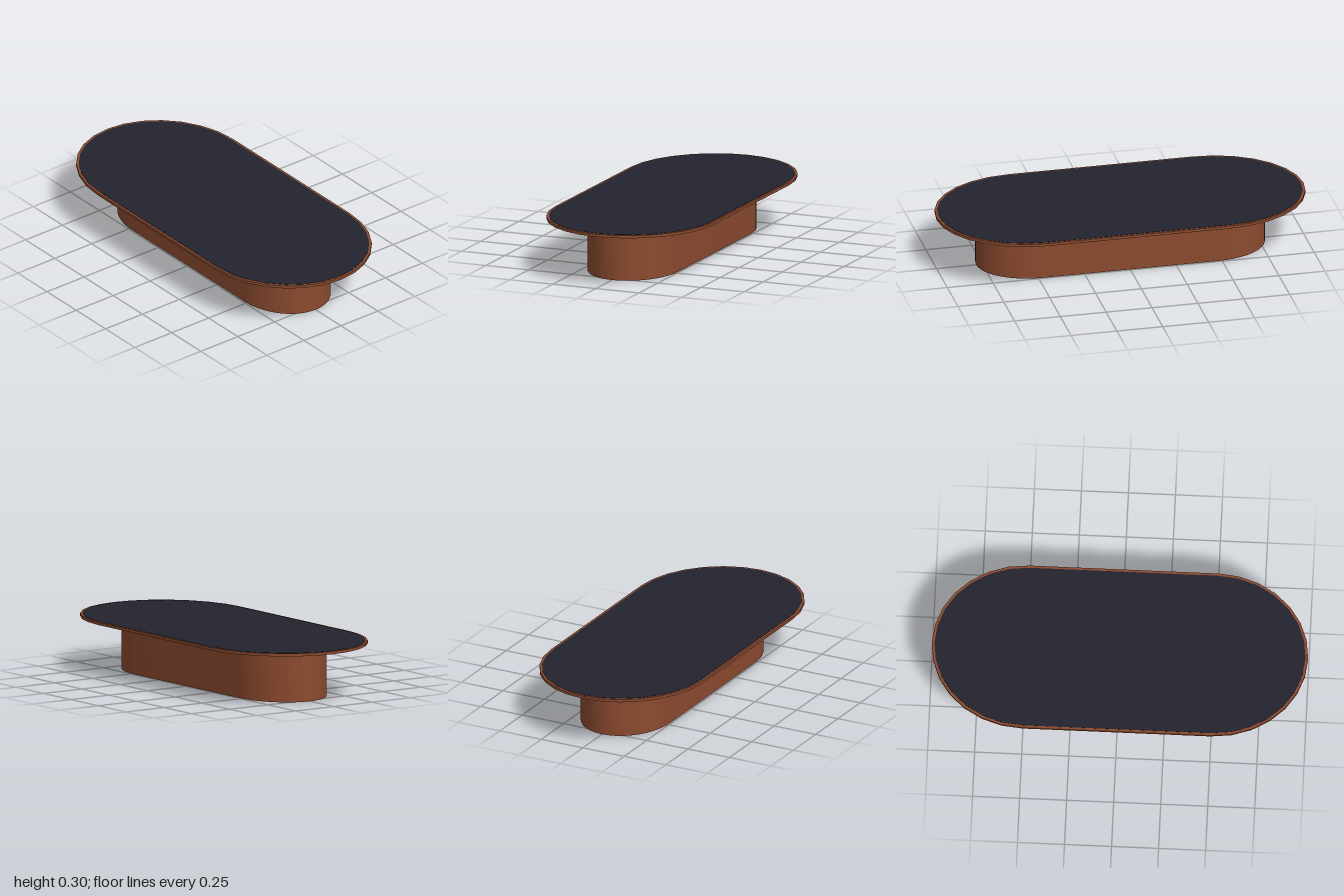
import * as THREE from 'three';
import { toCreasedNormals } from 'three/addons/utils/BufferGeometryUtils.js';

// Oval outline: straight sides joined by half-ellipse ends
function ovalShape(halfWidth, halfLength, straight, segments) {
  const points = [];
  for (const end of [1, -1]) {
    for (let i = 0; i <= segments; i++) {
      const a = (i / segments) * Math.PI;
      points.push(new THREE.Vector2(
        end * halfWidth * Math.cos(a),
        end * (straight + (halfLength - straight) * Math.sin(a))
      ));
    }
  }
  return new THREE.Shape(points);
}

// Upright oval slab between two heights
function ovalSlab(name, shape, bottom, top, material) {
  const solid = new THREE.ExtrudeGeometry(shape, { depth: top - bottom, bevelEnabled: false });
  solid.rotateX(-Math.PI / 2);
  solid.translate(0, bottom, 0);
  const mesh = new THREE.Mesh(toCreasedNormals(solid, Math.PI / 5), material);
  mesh.name = name;
  return mesh;
}

export function createModel() {
  const wood = new THREE.MeshStandardMaterial({ color: 0x8b4a2f });
  wood.name = 'reddish brown wood';
  const dark = new THREE.MeshStandardMaterial({ color: 0x22232e });
  dark.name = 'dark slate';

  const group = new THREE.Group();
  group.name = 'ovalTable';
  group.add(
    // Solid pedestal
    ovalSlab('pedestal', ovalShape(0.243, 0.784, 0.48, 32), 0, 0.282, wood),
    // Overhanging top with a thin wooden rim
    ovalSlab('tableTop', ovalShape(0.458, 1, 0.5, 14), 0.282, 0.297, wood),
    // Dark inlay covering the top inside the rim
    ovalSlab('topInlay', ovalShape(0.445, 0.986, 0.5, 14), 0.295, 0.2985, dark)
  );
  return group;
}
